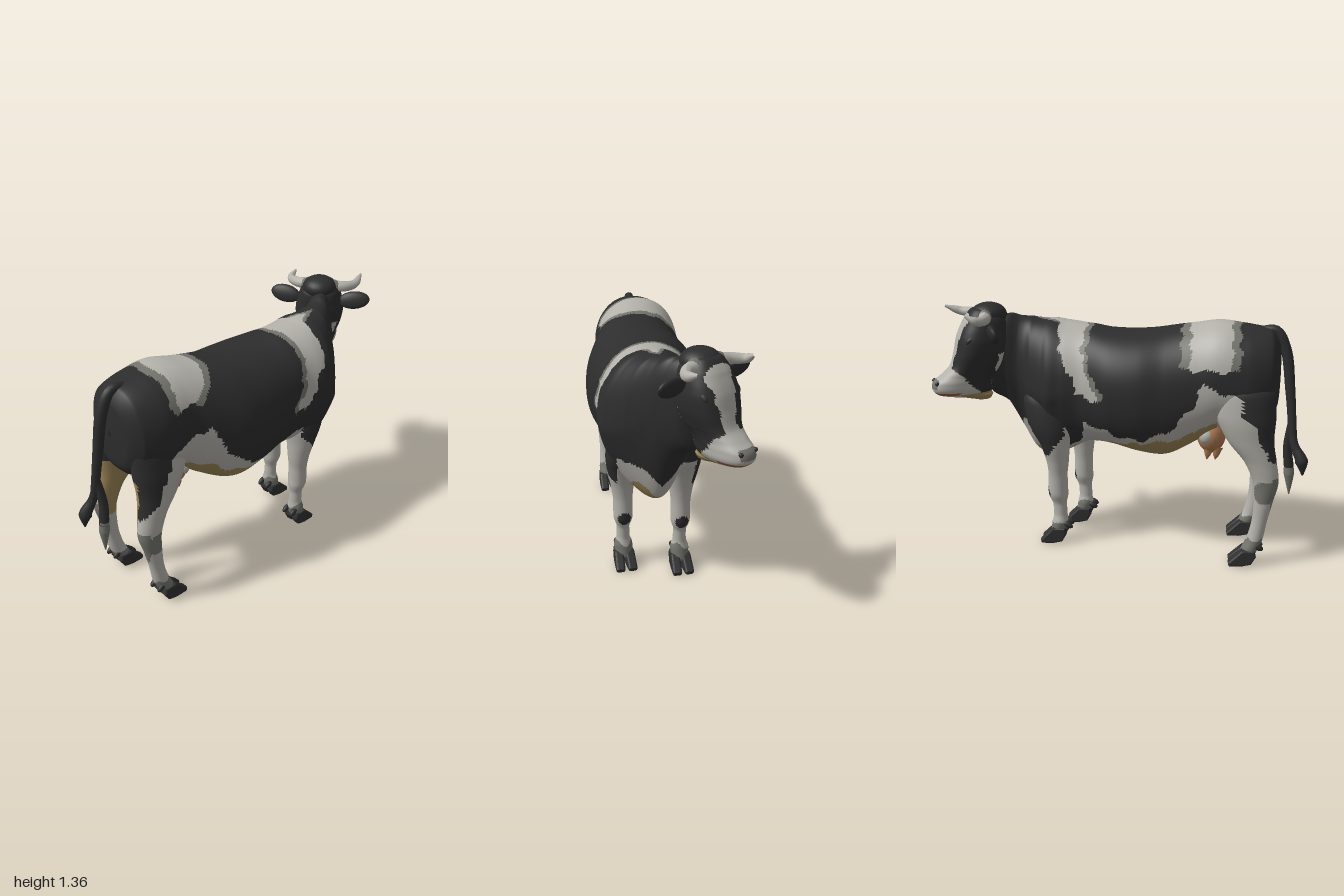
import * as THREE from 'three';

const mat = (name, color) => Object.assign(new THREE.MeshStandardMaterial({ color }), { name });
const M = {
  black: mat('black coat', 0x2d2d2d), white: mat('white coat', 0xb3b1aa), grey: mat('grey coat', 0x74746d),
  tan: mat('tan underside', 0x9c8556), pink: mat('udder skin', 0xb07a52), hoof: mat('hoof', 0x303030),
  mouth: mat('mouth', 0x9a5a3a),
};
const NAMES = Object.keys(M);
const MATS = Object.values(M);
const v3 = (x, y, z) => new THREE.Vector3(x, y, z);

// Smooth skin through rings [x, y, z, a, b, taper]; a runs along V, b along z, taper narrows the -V half.
// paint(p) names the colour of each face
function loft(name, rings, V, paint, steps = 90, segs = 48, power = 1) {
  const path = new THREE.CatmullRomCurve3(rings.map(r => v3(r[0], r[1], r[2])));
  const size = new THREE.CatmullRomCurve3(rings.map(r => v3(r[3], r[4], r[5] || 0)));
  const U = v3(0, 0, 1), pts = [], pos = [], buckets = NAMES.map(() => []);
  const soft = t => Math.sign(t) * Math.abs(t) ** power;
  for (let i = 0; i <= steps; i++) {
    const c = path.getPoint(i / steps), s = size.getPoint(i / steps);
    for (let j = 0; j < segs; j++) {
      const f = j / segs * Math.PI * 2, h = soft(Math.cos(f));
      const p = c.clone().addScaledVector(V, s.x * h).addScaledVector(U, s.y * soft(Math.sin(f)) * (1 + s.z * Math.min(h, 0)));
      pts.push(p);
      pos.push(p.x, p.y, p.z);
    }
  }
  const flip = V.clone().cross(U).dot(path.getPoint(1).sub(path.getPoint(0))) < 0;
  for (let i = 0; i < steps; i++) for (let j = 0; j < segs; j++) {
    const k = (j + 1) % segs, a = i * segs + j, b = i * segs + k, c = a + segs, d = b + segs;
    for (const t of [[a, b, c], [b, d, c]]) {
      const mid = v3(0, 0, 0).add(pts[t[0]]).add(pts[t[1]]).add(pts[t[2]]).divideScalar(3);
      buckets[NAMES.indexOf(paint(mid))].push(...(flip ? t.reverse() : t));
    }
  }
  const g = new THREE.BufferGeometry();
  g.setAttribute('position', new THREE.Float32BufferAttribute(pos, 3));
  g.setIndex(buckets.flat());
  let start = 0;
  buckets.forEach((b, i) => { if (b.length) g.addGroup(start, b.length, i); start += b.length; });
  g.computeVertexNormals();
  const m = new THREE.Mesh(g, MATS);
  m.name = name;
  return m;
}

// Tapered tube along a curve; radii are spread evenly along its length
function taper(name, points, radii, material, n = 24, sides = 12) {
  const curve = new THREE.CatmullRomCurve3(points.map(p => v3(...p)));
  const g = new THREE.TubeGeometry(curve, n, 1, sides), P = g.attributes.position, q = v3(0, 0, 0);
  for (let i = 0; i <= n; i++) {
    const c = curve.getPointAt(i / n), f = i / n * (radii.length - 1), k = Math.min(Math.floor(f), radii.length - 2);
    const r = THREE.MathUtils.lerp(radii[k], radii[k + 1], f - k);
    for (let j = 0; j <= sides; j++) {
      const id = i * (sides + 1) + j;
      q.fromBufferAttribute(P, id).sub(c).multiplyScalar(r).add(c);
      P.setXYZ(id, q.x, q.y, q.z);
    }
  }
  g.computeVertexNormals();
  const m = new THREE.Mesh(g, material);
  m.name = name;
  return m;
}

function blob(name, p, s, material, rot = [0, 0, 0]) {
  const m = new THREE.Mesh(new THREE.SphereGeometry(1, 24, 16), material);
  m.position.set(...p); m.scale.set(...s); m.rotation.set(...rot);
  m.name = name;
  return m;
}

// Piecewise linear height of a coat border at x
function line(pts, x) {
  for (let i = 1; i < pts.length; i++) {
    const [a, b] = [pts[i - 1], pts[i]];
    if (x <= b[0]) return a[1] + (b[1] - a[1]) * Math.max(0, (x - a[0]) / (b[0] - a[0]));
  }
  return pts[pts.length - 1][1];
}
const whiteLine = [[-.85, .58], [-.78, .61], [-.745, .68], [-.7, .79], [-.65, .84], [-.63, .92], [-.43, .99], [-.39, .88], [-.3, .76],
  [-.15, .67], [0, .68], [.08, .71], [.18, .74], [.22, .62], [.32, .52], [.37, .6], [.5, .68], [.55, .7], [.6, .6], [.64, .4]];
const tanLine = [[-.85, 0], [-.53, .5], [-.52, .76], [-.42, .75], [-.33, .68], [-.1, .645], [.15, .6], [.22, .58],
  [.32, .5], [.35, .56], [.46, .59], [.52, .4]];
// Back and front edges of the shoulder band by height: [y, x]
const bandBack = [[.87, .12], [.9, .1], [1, .17], [1.1, .2], [1.25, .19]];
const bandFront = [[.87, .12], [.9, .22], [1, .25], [1.08, .31], [1.25, .34]];

// Coat pattern of the trunk and upper legs
function coat(p) {
  const x = p.x + .008 * Math.sin(p.y * 47 + p.z * 31) + .004 * Math.sin(p.y * 110);
  const y = p.y + .01 * Math.sin(p.x * 45 + p.z * 20) + .003 * Math.sin(p.x * 90);
  // shoulder band with a point reaching forward over the withers
  const l = line(bandBack, y), r = line(bandFront, y), point = y > 1.1 ? .48 - 2.2 * Math.abs(p.z - .05) : 0;
  if (y > .87 && x > l - .03 && x < Math.max(r, point)) return x > l && x < Math.max(r, point - .05) ? 'white' : 'grey';
  // rump patch, larger on the right side
  const far = p.z < -.07, end = far ? -.32 : y - 1.57;
  if (y > (far ? 1.06 : 1.12) && x > -.62 && x < end) return x > -.58 && x < end - .05 ? 'white' : 'grey';
  // dark wedge down the middle of the chest
  const mid = Math.abs(p.z - .045);
  if (x > .42 && y > .59 + mid * 1.3) return 'black';
  if (y < line(tanLine, x) && (x < .3 || mid < .13)) return 'tan';
  if (y < line(whiteLine, x)) return 'white';
  return x > .33 && mid < .2 && y < .7 ? 'white' : 'black';
}

// Cloven hoof with two toes and two dewclaws
function hoof(x, z) {
  const g = new THREE.Group();
  g.name = 'hoof';
  const s = new THREE.Shape([[-.015, .022], [.03, .012], [.088, .012], [.09, .02], [.025, .085], [-.03, .085], [-.036, .06]].map(p => new THREE.Vector2(...p)));
  const geo = new THREE.ExtrudeGeometry(s, { depth: .024, bevelSize: .01, bevelThickness: .013, bevelSegments: 4 });
  for (const d of [-1, 1]) {
    const toe = new THREE.Mesh(geo, M.hoof);
    toe.name = 'toe';
    toe.position.set(x, 0, z + d * .028 - .012);
    toe.rotation.y = -d * .06;
    g.add(toe, blob('dewclaw', [x - .055, .112, z + d * .028], [.03, .017, .015], M.hoof, [0, 0, .5]));
  }
  return g;
}

function frontLeg(dx, z, side) {
  const rings = [[.3, .96, -.03, .01, .01], [.3, .93, -.03, .08, .04], [.3, .83, -.015, .13, .08], [.285, .7, 0, .12, .09],
    [.262, .59, .004, .082, .08], [.25, .49, .002, .062, .062], [.25, .4, 0, .053, .052], [.25, .3, 0, .055, .052], [.243, .23, 0, .038, .034],
    [.24, .17, 0, .038, .036], [.243, .12, 0, .045, .05], [.255, .06, 0, .042, .044], [.255, .05, 0, .01, .01]];
  const paint = p => {
    const outer = side * (p.z - z) > .042, x = p.x - dx;
    if (p.y < .14 + .02 * Math.sin(p.z * 60)) return 'grey';
    if (x > .26 && Math.hypot((p.y - .3) / .036, (p.z - z) / .036) < 1) return 'black';
    if (p.y < .5) return 'white';
    if (outer) return p.y < line(whiteLine, x + .01 * Math.sin(p.y * 60)) ? 'white' : 'black';
    return p.y > .7 ? 'black' : 'white';
  };
  const g = new THREE.Group();
  g.name = 'frontLeg';
  g.add(loft('frontLimb', rings.map(r => [r[0] + dx, r[1], z + side * r[2], r[3], r[4]]), v3(1, 0, 0), paint, 80, 36), hoof(.25 + dx, z));
  return g;
}

function hindLeg(z, side) {
  const rings = [[-.64, 1.06, -.08, .01, .01], [-.64, 1.03, -.08, .1, .05], [-.65, .94, -.055, .16, .095], [-.66, .82, -.04, .155, .097],
    [-.69, .69, -.025, .12, .08], [-.745, .58, -.012, .083, .062], [-.777, .47, -.005, .066, .052], [-.77, .37, 0, .05, .042],
    [-.755, .25, 0, .04, .038], [-.735, .15, 0, .043, .043], [-.715, .1, 0, .045, .048], [-.7, .06, 0, .042, .044], [-.7, .05, 0, .01, .01]];
  const paint = p => {
    const out = side * (p.z - z);
    if (p.y < .14 + .02 * Math.sin(p.z * 60)) return 'grey';
    if (out < -.025 && p.y > .42 && p.y < .78) return 'tan';
    if (out > .01 && Math.hypot((p.x + .77) / .055, (p.y - .425) / .065) < 1) return 'grey';
    if (p.y > .5) return coat(p) === 'black' ? 'black' : 'white';
    return p.x < -.805 ? 'grey' : 'white';
  };
  const g = new THREE.Group();
  g.name = 'hindLeg';
  g.add(loft('hindLimb', rings.map(r => [r[0], r[1], z + side * r[2], r[3], r[4]]), v3(1, 0, 0), paint, 80, 36), hoof(-.7, z));
  return g;
}

// Head, modelled facing +x and then turned
function head() {
  const g = new THREE.Group();
  g.name = 'head';
  // Level slices from poll to throat: [y, back, front, half width, taper]
  const rings = [[1.338, -.02, .03, .01, 0], [1.325, -.05, .07, .07, 0], [1.27, -.1, .115, .11, 0], [1.2, -.1, .148, .13, 0],
    [1.1, -.085, .175, .13, -.1], [1.03, -.065, .2, .108, -.15], [.985, -.045, .25, .092, 0], [.945, -.035, .298, .09, .2],
    [.905, -.025, .3, .086, .25], [.882, -.015, .275, .072, .25], [.858, -.015, .15, .048, 0], [.838, 0, .07, .03, 0], [.833, .03, .04, .005, 0]]
    .map(([y, b, f, w, t]) => [(b + f) / 2, y, 0, (f - b) / 2, w, t]);
  const paint = p => {
    const w = .006 * Math.sin(p.y * 75), z = Math.abs(p.z), blaze = THREE.MathUtils.clamp(.042 + (p.y - 1.08) * .18, .04, .075);
    if (p.x > .17 && p.y > .884 && p.y < .898) return 'mouth';
    if (p.x > .27 && p.y > .92 && p.y < .965 && z < .05) return 'grey';
    if (p.y < .872 || (p.y < .884 && p.x < .16)) return 'tan';
    if (p.y < 1.03 && p.x > .19 - (1.02 - p.y) * .96 + w) return 'white';
    if (p.x > .09 && p.y < 1.31 && Math.abs(p.z - .015 + w) < blaze) return 'white';
    return p.y < 1.1 && p.x < -.035 + (1.1 - p.y) * .15 + w ? 'white' : 'black';
  };
  g.add(loft('skull', rings, v3(1, 0, 0), paint, 100, 60, .8));
  g.add(blob('poll', [-.02, 1.295, 0], [.095, .062, .095], M.black));
  for (const d of [-1, 1]) {
    g.add(taper('horn', [[.02, 1.29, .07 * d], [.035, 1.287, .135 * d], [.085, 1.288, .185 * d], [.157 + .015 * d, 1.318, .19 * d + .018]], [.033, .03, .026, .021, .006], M.white));
    g.add(taper('hornBase', [[.015, 1.29, .06 * d], [.022, 1.288, .1 * d]], [.04, .038, .03], M.grey, 6));
    g.add(blob('ear', [.01, 1.22, .2 * d], [.024, .05, .088], M.black, [-.12 * d, .1 * d, -.3]));
    g.add(blob('brow', [.1, 1.18, .102 * d], [.035, .018, .016], M.black, [0, 0, -.6]));
    g.add(blob('nostril', [.283, .95, .046 * d], [.011, .011, .011], M.black));
  }
  g.position.set(.72, 0, -.09);
  g.rotation.y = .5;
  return g;
}

export function createModel() {
  const cow = new THREE.Group();
  cow.name = 'cow';
  // Trunk and neck: [x, top, bottom, centre z, half width, taper]
  const trunk = [[-.835, 1.04, 1.0, -.07, .01, 0], [-.825, 1.17, .84, -.07, .12, 0], [-.78, 1.24, .77, -.07, .19, 0], [-.66, 1.265, .72, -.065, .235, 0],
    [-.52, 1.28, .71, -.06, .24, 0], [-.4, 1.26, .62, -.03, .26, 0], [-.24, 1.23, .535, 0, .295, 0], [-.1, 1.215, .55, 0, .305, 0],
    [.05, 1.215, .585, .01, .29, 0], [.18, 1.23, .58, .04, .26, 0], [.31, 1.245, .51, .06, .265, .2], [.41, 1.255, .475, .055, .24, .5],
    [.49, 1.265, .52, .045, .182, .5], [.55, 1.27, .64, .03, .13, .3], [.62, 1.285, .8, -.01, .1, 0], [.7, 1.28, .87, -.065, .085, 0], [.73, 1.1, 1.08, -.09, .01, 0]];
  cow.add(loft('trunk', trunk.map(([x, t, b, z, w, k]) => [x, (t + b) / 2, z, (t - b) / 2, w, k]), v3(0, 1, 0), coat, 190, 120, .91));
  cow.add(frontLeg(0, .19, 1), frontLeg(.1, -.1, -1), hindLeg(.105, 1), hindLeg(-.265, -1), head());

  // Udder with four teats
  const udder = new THREE.Group();
  udder.name = 'udder';
  udder.add(blob('bag', [-.49, .67, -.07], [.08, .105, .11], M.pink));
  for (const d of [-1, 1]) {
    udder.add(blob('palePatch', [-.465, .675, -.07 + d * .07], [.042, .048, .046], M.white));
    for (const x of [-.525, -.48]) udder.add(taper('teat', [[x, .61, -.07 + d * .045], [x + .01, .535, -.07 + d * .05]], [.032, .024, .016, .002], M.pink, 10));
  }
  cow.add(udder);

  // Tail with two strands of hair
  cow.add(taper('tail', [[-.72, 1.23, -.06], [-.8, 1.235, -.07], [-.855, 1.14, -.08], [-.89, .92, -.1], [-.915, .68, -.13]],
    [.022, .028, .028, .026, .023, .022], M.black, 40));
  cow.add(taper('tailTuft', [[-.905, .76, -.12], [-.925, .64, -.14], [-.965, .56, -.16], [-.975, .48, -.165]], [.022, .02, .024, .034, .004], M.black));
  cow.add(taper('tailStrand', [[-.905, .76, -.12], [-.895, .62, -.1], [-.91, .5, -.09]], [.02, .022, .024, .026], M.black));
  cow.add(taper('strandTip', [[-.908, .52, -.09], [-.915, .44, -.09], [-.92, .34, -.09]], [.025, .028, .016, .003], M.grey));
  return cow;
}
